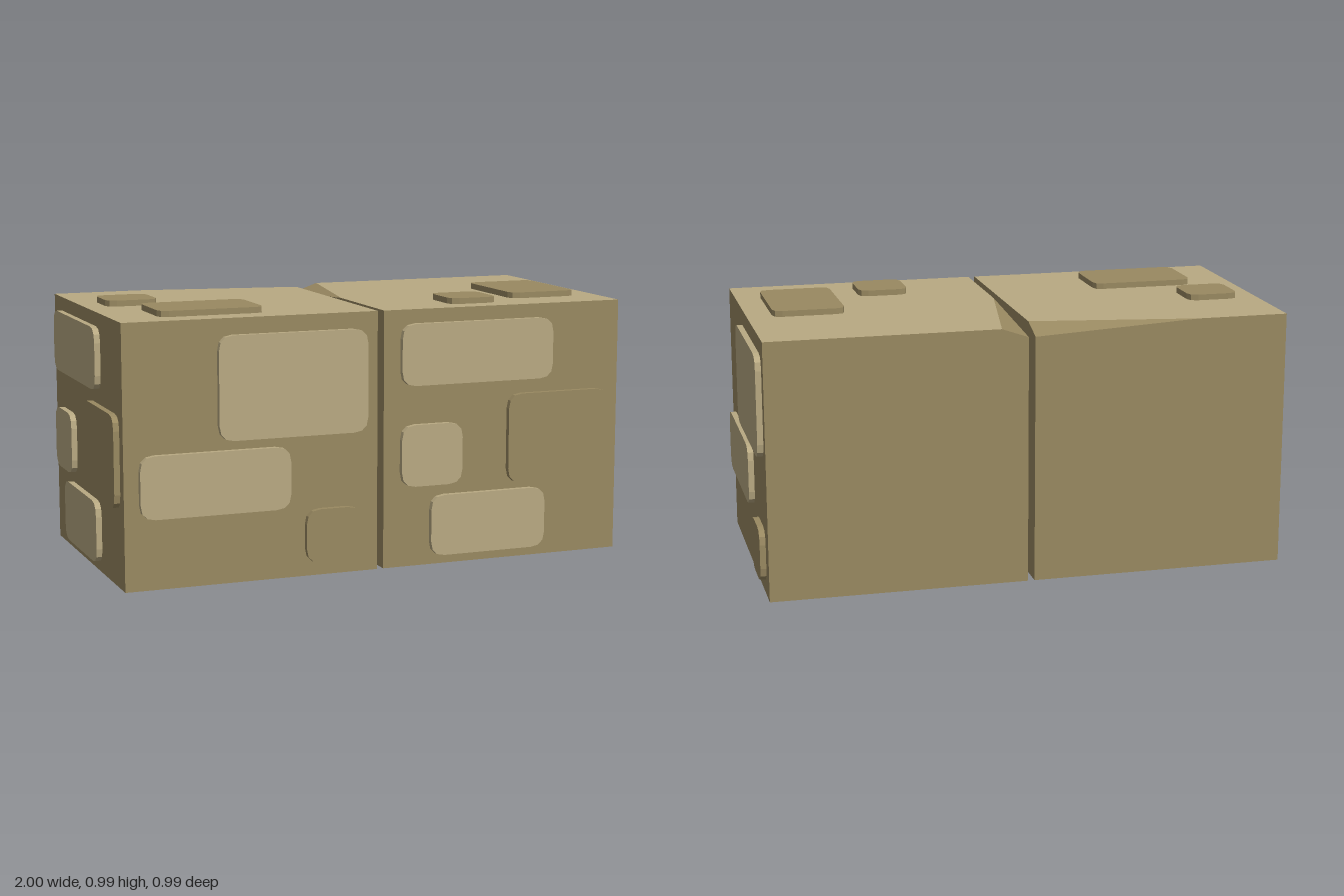
import * as THREE from 'three';

const H = 0.965, ZF = 0.47, ZB = -0.495, DEPTH = 0.022;

function material(name, color) {
  const m = new THREE.MeshStandardMaterial({ color });
  m.name = name;
  return m;
}

// Flat faces from corner loops, fanned from their first corner
function facesGeometry(loops, flip) {
  const pos = [];
  for (const loop of loops) {
    for (let i = 1; i < loop.length - 1; i++) {
      const tri = [loop[0], loop[i], loop[i + 1]];
      if (flip) tri.reverse();
      tri.forEach(p => pos.push(...p));
    }
  }
  const g = new THREE.BufferGeometry();
  g.setAttribute('position', new THREE.Float32BufferAttribute(pos, 3));
  g.computeVertexNormals();
  return g;
}

// Rounded slab from (u0, v0) to (u1, v1), standing out along +z
function slabGeometry([u0, u1, v0, v1], r, segments) {
  const s = new THREE.Shape();
  s.moveTo(u0 + r, v0);
  s.lineTo(u1 - r, v0);
  s.quadraticCurveTo(u1, v0, u1, v0 + r);
  s.lineTo(u1, v1 - r);
  s.quadraticCurveTo(u1, v1, u1 - r, v1);
  s.lineTo(u0 + r, v1);
  s.quadraticCurveTo(u0, v1, u0, v1 - r);
  s.lineTo(u0, v0 + r);
  s.quadraticCurveTo(u0, v0, u0 + r, v0);
  return new THREE.ExtrudeGeometry(s, { depth: DEPTH, bevelEnabled: false, curveSegments: segments });
}

// Stone patterns, measured from the lower left corner of a wall: u0, u1, v0, v1
const patternA = {
  light: [[0.35, 0.92, 0.525, 0.905], [0.055, 0.62, 0.26, 0.49]],
  dark: [[0.68, 0.895, 0.05, 0.25]],
};
const patternB = {
  light: [[0.065, 0.68, 0.683, 0.913], [0.065, 0.31, 0.305, 0.537], [0.185, 0.655, 0.035, 0.265]],
  dark: [[0.50, 0.92, 0.29, 0.63]],
};
// Paving stones on top: x0, x1, then z0, z1
const topStones = [
  [-0.90, -0.705, -0.19, 0.0], [-0.81, -0.415, 0.105, 0.37],
  [0.61, 0.88, -0.10, 0.295], [0.315, 0.505, 0.19, 0.385],
];

export function createModel() {
  const model = new THREE.Group();
  const light = material('lightStone', 0xb8a982);
  const dark = material('darkStone', 0x998961);
  const black = material('underside', 0x050505);

  function add(parent, name, geometry, mat) {
    const mesh = new THREE.Mesh(geometry, mat);
    mesh.name = name;
    parent.add(mesh);
    return mesh;
  }

  // Block with one chipped corner: xo outer side, xi side at the gap
  function block(name, xo, xi, chipX, chipZ) {
    const g = new THREE.Group();
    g.name = name;
    const flip = xo > xi;
    const A = [chipX, H, ZB], B = [xi, H, chipZ], C = [xi, H - 0.035, ZB];
    const of = [xo, H, ZF], ob = [xo, H, ZB], nf = [xi, H, ZF];
    const of0 = [xo, 0, ZF], ob0 = [xo, 0, ZB], nf0 = [xi, 0, ZF], nb0 = [xi, 0, ZB];
    add(g, 'walls', facesGeometry([
      [of0, nf0, nf, of],
      [ob0, of0, of, ob],
      [nb0, C, B, nf, nf0],
      [nb0, ob0, ob, A, C],
    ], flip), dark);
    add(g, 'topFace', facesGeometry([[of, nf, B, A, ob]], flip), light);
    add(g, 'chippedCorner', facesGeometry([[A, B, C]], flip), dark);
    add(g, 'bottomFace', facesGeometry([[of0, ob0, nb0, nf0]], flip), black);
    model.add(g);
  }
  block('rightBlock', -0.98, -0.015, -0.64, -0.39);
  block('leftBlock', 0.975, 0.01, 0.11, 0.04);

  // Raised stones on a wall whose lower left corner is at (x, z), turned by angle
  function wallStones(name, pattern, x, z, angle) {
    const g = new THREE.Group();
    g.name = name;
    for (const [tone, mat] of [['light', light], ['dark', dark]]) {
      pattern[tone].forEach(r => add(g, tone + 'Stone', slabGeometry(r, 0.055, 3), mat));
    }
    g.position.set(x, 0, z);
    g.rotation.y = angle;
    model.add(g);
  }
  wallStones('frontRightStones', patternA, -0.98, ZF, 0);
  wallStones('frontLeftStones', patternB, 0.01, ZF, 0);
  wallStones('leftSideStones', patternA, 0.975, ZF, Math.PI / 2);
  wallStones('rightSideStones', patternB, -0.98, ZB, -Math.PI / 2);

  // Stones lying on the top
  const paving = new THREE.Group();
  paving.name = 'topStones';
  for (const [x0, x1, z0, z1] of topStones) {
    add(paving, 'topStone', slabGeometry([x0, x1, -z1, -z0], 0.035, 2), dark);
  }
  paving.rotation.x = -Math.PI / 2;
  paving.position.y = H;
  model.add(paving);

  return model;
}
